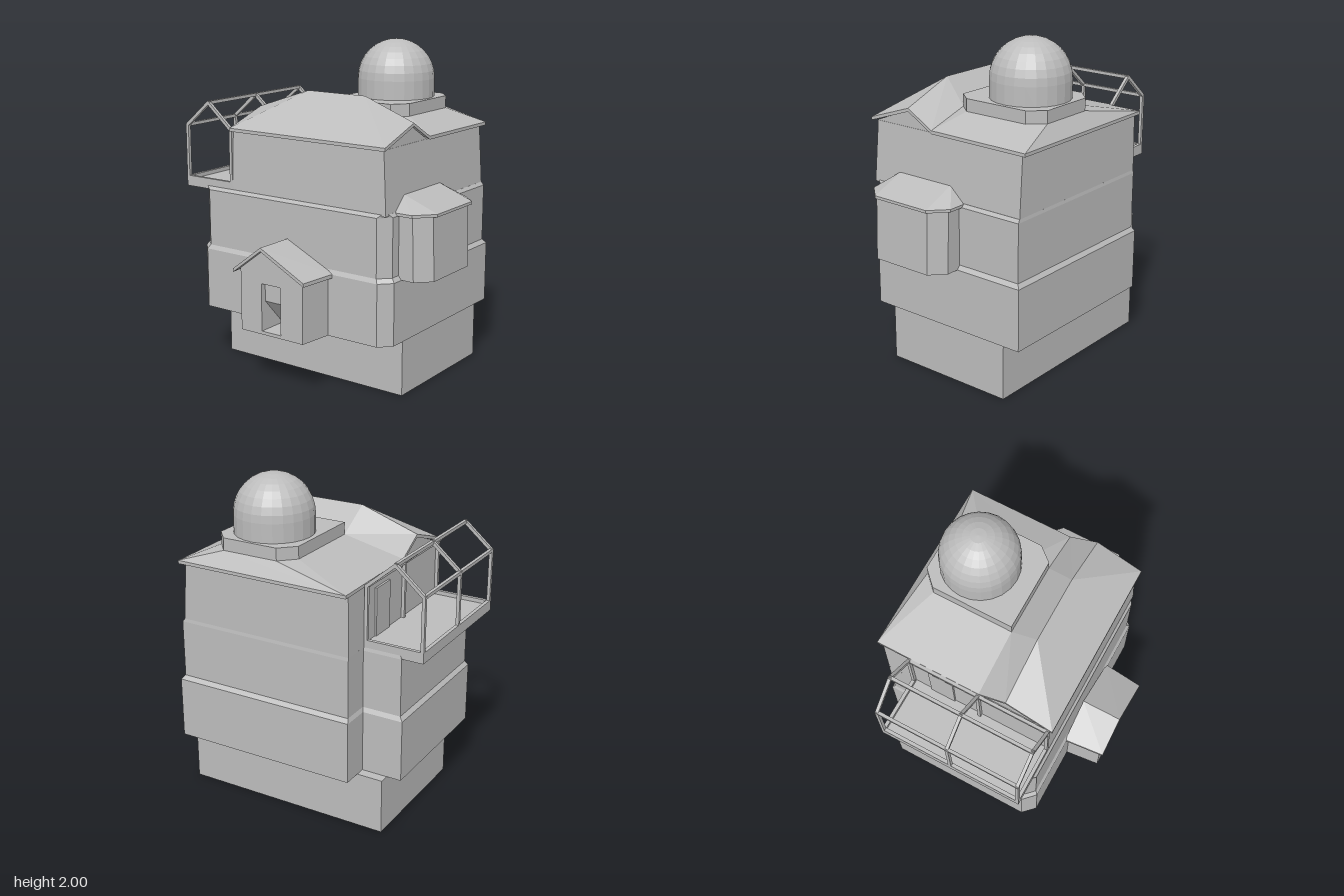
import * as THREE from 'three';

const stone = new THREE.MeshStandardMaterial({ color: 0xbcbcbc, flatShading: true });
stone.name = 'plain grey';

export function createModel() {
  const model = new THREE.Group();
  const add = (geo, name, parent = model) => {
    const mesh = new THREE.Mesh(geo, stone);
    mesh.name = name;
    parent.add(mesh);
    return mesh;
  };
  const box = (name, x0, x1, y0, y1, z0, z1, parent) =>
    add(new THREE.BoxGeometry(x1 - x0, y1 - y0, z1 - z0), name, parent)
      .position.set((x0 + x1) / 2, (y0 + y1) / 2, (z0 + z1) / 2);
  const fromTriangles = (pos) => {
    const g = new THREE.BufferGeometry();
    g.setAttribute('position', new THREE.Float32BufferAttribute(pos, 3));
    g.computeVertexNormals();
    return g;
  };

  // Walls through stacked footprints: rings of { y, pts: [[x, z], ...] }, counter-clockwise from above
  const loft = (name, rings) => {
    const pos = [];
    const at = (r, i) => [r.pts[i][0], r.y, r.pts[i][1]];
    const n = rings[0].pts.length;
    for (let k = 0; k + 1 < rings.length; k++) {
      for (let i = 0; i < n; i++) {
        const j = (i + 1) % n;
        const a = at(rings[k], i), b = at(rings[k], j), c = at(rings[k + 1], j), d = at(rings[k + 1], i);
        pos.push(...a, ...b, ...c, ...a, ...c, ...d);
      }
    }
    for (const [ring, up] of [[rings[0], false], [rings[rings.length - 1], true]]) {
      const flat = ring.pts.map(([x, z]) => new THREE.Vector2(x, -z));
      for (const [a, b, c] of THREE.ShapeUtils.triangulateShape(flat, [])) {
        for (const i of up ? [a, b, c] : [a, c, b]) pos.push(...at(ring, i));
      }
    }
    return add(fromTriangles(pos), name);
  };

  // Roof plate: convex faces seen from above, given a thickness and closed edges
  const roof = (name, pts, faces, t) => {
    const pos = [];
    const low = (i) => [pts[i][0], pts[i][1] - t, pts[i][2]];
    const edges = new Set(faces.flatMap((f) => f.map((a, i) => a + '_' + f[(i + 1) % f.length])));
    for (const f of faces) {
      for (let i = 1; i + 1 < f.length; i++) {
        pos.push(...pts[f[0]], ...pts[f[i]], ...pts[f[i + 1]]);
        pos.push(...low(f[0]), ...low(f[i + 1]), ...low(f[i]));
      }
      f.forEach((a, i) => {
        const b = f[(i + 1) % f.length];
        if (!edges.has(b + '_' + a)) pos.push(...low(a), ...low(b), ...pts[b], ...low(a), ...pts[b], ...pts[a]);
      });
    }
    return add(fromTriangles(pos), name);
  };

  // Base and the two lower storeys, with cut front corners and a notched back corner
  const footprint = (l, r, f, b, notchX, notchZ, cut) => [
    [l, f - cut], [l + cut, f], [r - cut, f], [r, f - cut], [r, b], [notchX, b], [notchX, notchZ], [l, notchZ],
  ];
  box('base', -0.65, 0.66, 0, 0.34, -0.57, 0.275);
  const ground = footprint(-0.74, 0.67, 0.455, -0.685, -0.49, -0.51, 0.07);
  const middle = footprint(-0.72, 0.65, 0.44, -0.665, -0.48, -0.495, 0.065);
  const ledge = footprint(-0.71, 0.635, 0.425, -0.662, -0.48, -0.49, 0.03);
  loft('groundFloor', [{ y: 0.34, pts: ground }, { y: 0.715, pts: ground }, { y: 0.74, pts: middle }]);
  loft('middleFloor', [{ y: 0.74, pts: middle }, { y: 1.09, pts: middle }, { y: 1.11, pts: ledge }]);

  // Leaning top storey and its gable walls
  const rect = (l, r, f, b) => [[l, f], [r, f], [r, b], [l, b]];
  loft('topFloor', [
    { y: 1.1, pts: rect(-0.48, 0.635, 0.425, -0.662) },
    { y: 1.47, pts: rect(-0.475, 0.61, 0.412, -0.66) },
  ]);
  const gable = new THREE.Shape([[-0.41, 1.46], [0.03, 1.46], [0.03, 1.475], [-0.145, 1.575], [-0.41, 1.475]]
    .map(([x, y]) => new THREE.Vector2(x, y)));
  const gableGeo = new THREE.ExtrudeGeometry(gable, { depth: 1.08, bevelEnabled: false });
  gableGeo.rotateY(Math.PI / 2).translate(-0.472, 0, 0);
  add(gableGeo, 'gableWalls');

  // Main roof: clipped ridge in front, shallow hips rising to the dome platform behind
  roof('mainRoof', [
    [-0.48, 1.49, 0.44], [0.635, 1.49, 0.44],
    [-0.48, 1.59, 0.145], [-0.11, 1.715, 0.145], [0.3, 1.715, 0.145], [0.635, 1.59, 0.145],
    [-0.48, 1.49, -0.03], [-0.09, 1.575, -0.03], [0.36, 1.575, -0.03], [0.635, 1.49, -0.03],
    [0.435, 1.575, -0.12], [0.435, 1.575, -0.54], [0.355, 1.575, -0.63], [0, 1.575, -0.63],
    [-0.09, 1.575, -0.54], [-0.48, 1.485, -0.695], [0.635, 1.485, -0.695],
  ], [
    [0, 1, 4, 3], [0, 3, 2], [1, 5, 4], [2, 3, 7, 6], [3, 4, 8, 7], [4, 5, 9, 8],
    [6, 7, 14, 15], [15, 14, 13], [15, 13, 12, 16], [16, 12, 11], [16, 11, 10, 9], [9, 10, 8],
    [7, 8, 10, 11, 12, 13, 14],
  ], 0.02);

  // Dome on its platform
  const deck = [[-0.09, -0.03], [0.36, -0.03], [0.435, -0.12], [0.435, -0.54], [0.355, -0.63], [0, -0.63], [-0.09, -0.54]];
  loft('domePlatform', [{ y: 1.565, pts: deck }, { y: 1.65, pts: deck }]);
  const R = 0.237;
  const profile = [new THREE.Vector2(R, 1.64)];
  for (let i = 0; i <= 8; i++) {
    const a = (i / 8) * Math.PI / 2;
    profile.push(new THREE.Vector2(i === 8 ? 0 : R * Math.cos(a), 1.763 + R * Math.sin(a)));
  }
  add(new THREE.LatheGeometry(profile, 24), 'dome').position.set(0.175, 0, -0.375);

  // Bay on the left side
  const bay = (x0, x1, x2, zf, zf2, zb2, zb) => [[x0, zf], [x1, zf], [x2, zf2], [x2, zb2], [x1, zb], [x0, zb]];
  loft('bay', [
    { y: 0.715, pts: bay(0.6, 0.75, 0.836, 0.312, 0.23, -0.16, -0.243) },
    { y: 1.1, pts: bay(0.6, 0.738, 0.823, 0.312, 0.23, -0.16, -0.243) },
  ]);
  roof('bayRoof', [
    ...bay(0.62, 0.745, 0.845, 0.33, 0.22, -0.17, -0.265).map(([x, z]) => [x, 1.107, z]),
    [0.62, 1.195, 0.225], [0.62, 1.195, -0.16],
  ], [[0, 1, 6], [1, 2, 6], [6, 2, 3, 7], [3, 4, 7], [4, 5, 7]], 0.017);

  // Porch, narrowing to the front, with a doorway
  const porchShape = new THREE.Shape([[-0.22, 0.34], [0.235, 0.34], [0.235, 0.695], [-0.045, 0.855], [-0.22, 0.72]]
    .map(([x, y]) => new THREE.Vector2(x, y)));
  porchShape.holes.push(new THREE.Path([[-0.065, 0.36], [-0.065, 0.65], [0.075, 0.65], [0.075, 0.36]]
    .map(([x, y]) => new THREE.Vector2(x, y))));
  const porchGeo = new THREE.ExtrudeGeometry(porchShape, { depth: 0.215, bevelEnabled: false });
  porchGeo.translate(0, 0, 0.45);
  const p = porchGeo.attributes.position;
  for (let i = 0; i < p.count; i++) {
    if (Math.abs(p.getX(i)) > 0.1) p.setX(i, p.getX(i) * (1 + (0.665 - p.getZ(i)) * 0.5));
  }
  porchGeo.computeVertexNormals();
  add(porchGeo, 'porch');
  roof('porchRoof', [
    [-0.253, 0.717, 0.695], [-0.045, 0.875, 0.695], [0.265, 0.717, 0.695],
    [-0.277, 0.717, 0.445], [-0.045, 0.875, 0.445], [0.29, 0.717, 0.445],
  ], [[0, 1, 4, 3], [1, 2, 5, 4]], 0.022);
  // Door panel above a sloping underside
  const panel = [[0.45, 0.36], [0.47, 0.36], [0.63, 0.535], [0.63, 0.65], [0.45, 0.65]];
  const doorGeo = new THREE.ExtrudeGeometry(
    new THREE.Shape(panel.map(([z, y]) => new THREE.Vector2(-z, y)).reverse()),
    { depth: 0.115, bevelEnabled: false });
  add(doorGeo.rotateY(Math.PI / 2).translate(-0.065, 0, 0), 'porchDoor');

  // Balcony tray on the right side
  const balcony = new THREE.Group();
  balcony.name = 'balcony';
  model.add(balcony);
  box('balconyFloor', -0.85, -0.47, 1.09, 1.13, -0.49, 0.425, balcony);
  box('balconyRimSide', -0.85, -0.828, 1.13, 1.155, -0.49, 0.425, balcony);
  box('balconyRimFront', -0.828, -0.48, 1.13, 1.155, 0.403, 0.425, balcony);
  box('balconyRimBack', -0.828, -0.48, 1.13, 1.155, -0.49, -0.468, balcony);
  box('balconyDoor', -0.489, -0.47, 1.13, 1.42, -0.36, -0.2, balcony);

  // Open frame over the balcony
  const beam = (name, a, b) => {
    const from = new THREE.Vector3(...a), to = new THREE.Vector3(...b);
    const m = add(new THREE.BoxGeometry(0.02, 0.02, from.distanceTo(to) + 0.012), name, balcony);
    m.position.copy(from).lerp(to, 0.5);
    m.lookAt(to);
  };
  const xs = [-0.84, -0.665, -0.49], ys = [1.475, 1.625, 1.475];
  for (const z of [0.415, 0.03 - 0.06, -0.48]) {
    for (const i of [0, 2]) {
      beam('post', [xs[i], 1.13, z], [xs[i], ys[i], z]);
      beam('rafter', [xs[i], ys[i], z], [xs[1], ys[1], z]);
    }
  }
  xs.forEach((x, i) => beam(i === 1 ? 'ridgeBeam' : 'eaveBeam', [x, ys[i], -0.48], [x, ys[i], 0.415]));

  return model;
}
